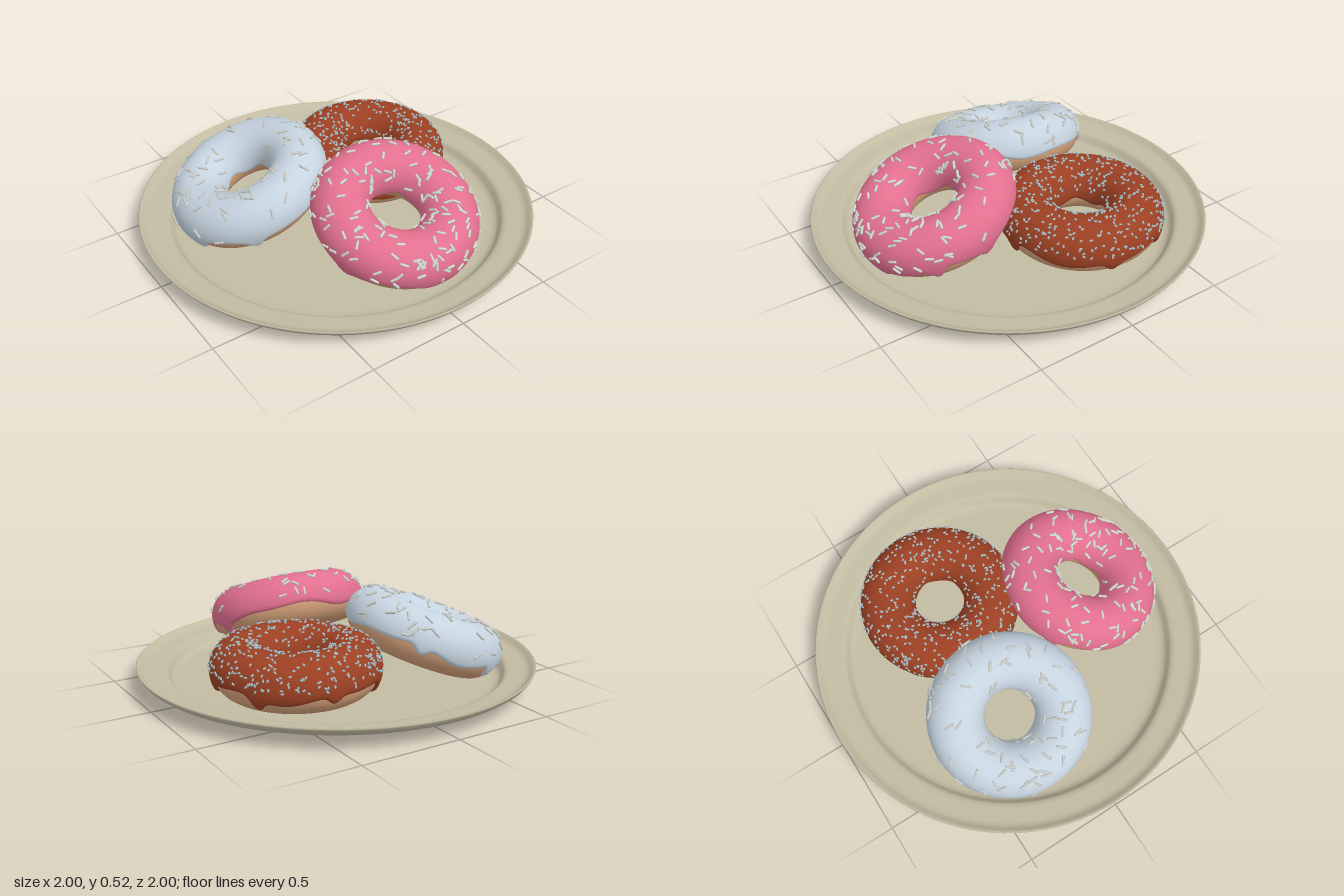
import * as THREE from 'three';
import { mergeGeometries } from 'three/addons/utils/BufferGeometryUtils.js';
import { ParametricGeometry } from 'three/addons/geometries/ParametricGeometry.js';

const RING = 0.268;   // centre line of the ring
const DOUGH = 0.131;  // radius of the dough
const ICING = 0.142;  // radius of the icing

const paint = (name, color) => {
  const m = new THREE.MeshStandardMaterial({ color });
  m.name = name;
  return m;
};

const seeded = (seed) => () => {
  seed = (seed * 16807) % 2147483647;
  return seed / 2147483647;
};

const named = (name, geometry, material) => {
  const mesh = new THREE.Mesh(geometry, material);
  mesh.name = name;
  return mesh;
};

// Point on a ring: a runs around the ring, p around its section (0 = outside, PI/2 = top)
const onRing = (a, p, r, target = new THREE.Vector3()) => {
  const d = RING + r * Math.cos(p);
  return target.set(d * Math.cos(a), r * Math.sin(p), -d * Math.sin(a));
};

// Icing shell with a wavy, rounded edge and drips at the given angles
function icingGeometry(drips, phase) {
  const drip = (a) => drips.reduce((sum, [at, depth]) => {
    const d = Math.atan2(Math.sin(a - at), Math.cos(a - at));
    return sum + depth * Math.exp(-((d / 0.085) ** 2));
  }, 0);
  return new ParametricGeometry((u, v, target) => {
    const a = u * Math.PI * 2;
    const w = 0.5 - 0.5 * Math.cos(v * Math.PI);
    const run = drip(a);
    const outer = -0.3 - 0.13 * Math.sin(4 * a + phase) - 0.07 * Math.sin(7 * a + phase * 2) - run;
    const inner = Math.PI + 0.25 + 0.12 * Math.sin(5 * a + phase);
    const e = Math.min(1, Math.min(w, 1 - w) / 0.05);
    const round = Math.sqrt(Math.max(0, 1 - (1 - e) ** 2));
    const bead = 0.008 * run * Math.exp(-(((w - 0.06) / 0.06) ** 2));
    onRing(a, THREE.MathUtils.lerp(outer, inner, w), DOUGH - 0.003 + (ICING - DOUGH + 0.003 + bead) * round, target);
  }, 160, 28);
}

// Little rods scattered evenly, lying on the icing
function sprinkleGeometry({ count, radius, length, seed }) {
  const random = seeded(seed);
  const rod = new THREE.CapsuleGeometry(radius, length, 2, 6);
  const up = new THREE.Vector3(0, 1, 0);
  const rods = [];
  while (rods.length < count) {
    const a = random() * Math.PI * 2;
    const p = 0.02 + random() * 2.9;
    if (random() > (RING + ICING * Math.cos(p)) / (RING + ICING)) continue;
    const turn = random() * Math.PI * 2;
    const around = new THREE.Vector3(-Math.sin(a), 0, -Math.cos(a));
    const over = new THREE.Vector3(-Math.sin(p) * Math.cos(a), Math.cos(p), Math.sin(p) * Math.sin(a));
    const along = around.multiplyScalar(Math.cos(turn)).addScaledVector(over, Math.sin(turn)).normalize();
    const matrix = new THREE.Matrix4().compose(
      onRing(a, p, ICING + radius * 0.5),
      new THREE.Quaternion().setFromUnitVectors(up, along),
      new THREE.Vector3(1, 1, 1),
    );
    rods.push(rod.clone().applyMatrix4(matrix));
  }
  return mergeGeometries(rods);
}

function plateGeometry() {
  const profile = [
    [0, 0.012], [0.4, 0.012], [0.78, 0.012], [0.805, 0.014], [0.825, 0.022], [0.838, 0.036],
    [0.846, 0.056], [0.856, 0.064], [0.88, 0.066], [0.945, 0.067], [0.965, 0.073], [0.985, 0.088],
    [0.997, 0.105], [1, 0.112], [0.996, 0.115], [0.988, 0.113], [0.975, 0.1], [0.96, 0.09],
    [0.94, 0.086], [0.875, 0.084], [0.855, 0.08], [0.843, 0.07], [0.832, 0.05], [0.82, 0.038],
    [0.8, 0.031], [0.77, 0.03], [0.4, 0.03], [0, 0.03],
  ];
  return new THREE.LatheGeometry(profile.map(([x, y]) => new THREE.Vector2(x, y)), 96);
}

export function createModel() {
  const model = new THREE.Group();
  model.name = 'plateOfDoughnuts';

  const dough = paint('dough', 0xd6a27a);
  const doughGeometry = new THREE.TorusGeometry(RING, DOUGH, 28, 80).rotateX(Math.PI / 2);

  model.add(named('plate', plateGeometry(), paint('stoneware', 0xc2bba2)));

  const doughnuts = [
    {
      name: 'pinkDoughnut', position: [0.03, 0.275, 0.447], rotation: [0.37, 0, 0], phase: 0.6,
      icing: paint('pink icing', 0xe2708f),
      topping: paint('pale sprinkles', 0xd3dcd2),
      drips: [[0.1, 0.5], [-0.55, 0.5], [-1.3, 0.35], [2.2, 0.4], [3.5, 0.45]],
      sprinkles: { count: 150, radius: 0.0065, length: 0.032, seed: 11 },
    },
    {
      name: 'whiteDoughnut', position: [-0.375, 0.232, -0.23], rotation: [-0.08, 0, 0.36], phase: 2.1,
      icing: paint('white icing', 0xc6d4e0),
      topping: paint('grey sprinkles', 0xcdcfca),
      drips: [[-2.1, 0.4], [1.98, 0.5], [-2.9, 0.4], [0.9, 0.35]],
      sprinkles: { count: 85, radius: 0.0065, length: 0.042, seed: 23 },
    },
    {
      name: 'chocolateDoughnut', position: [0.345, 0.172, -0.2], rotation: [0, 0, 0], phase: 4.0,
      icing: paint('chocolate icing', 0x9c4023),
      topping: paint('blue grey sprinkles', 0xa9c0c6),
      drips: [[0.6, 0.5], [-0.25, 0.4], [-1.57, 0.55], [2.36, 0.5], [1.5, 0.3]],
      sprinkles: { count: 620, radius: 0.005, length: 0.007, seed: 37 },
    },
  ];

  for (const d of doughnuts) {
    const group = new THREE.Group();
    group.name = d.name;
    group.add(
      named('dough', doughGeometry, dough),
      named('icing', icingGeometry(d.drips, d.phase), d.icing),
      named('sprinkles', sprinkleGeometry(d.sprinkles), d.topping),
    );
    group.position.set(...d.position);
    group.rotation.set(...d.rotation);
    model.add(group);
  }
  return model;
}
